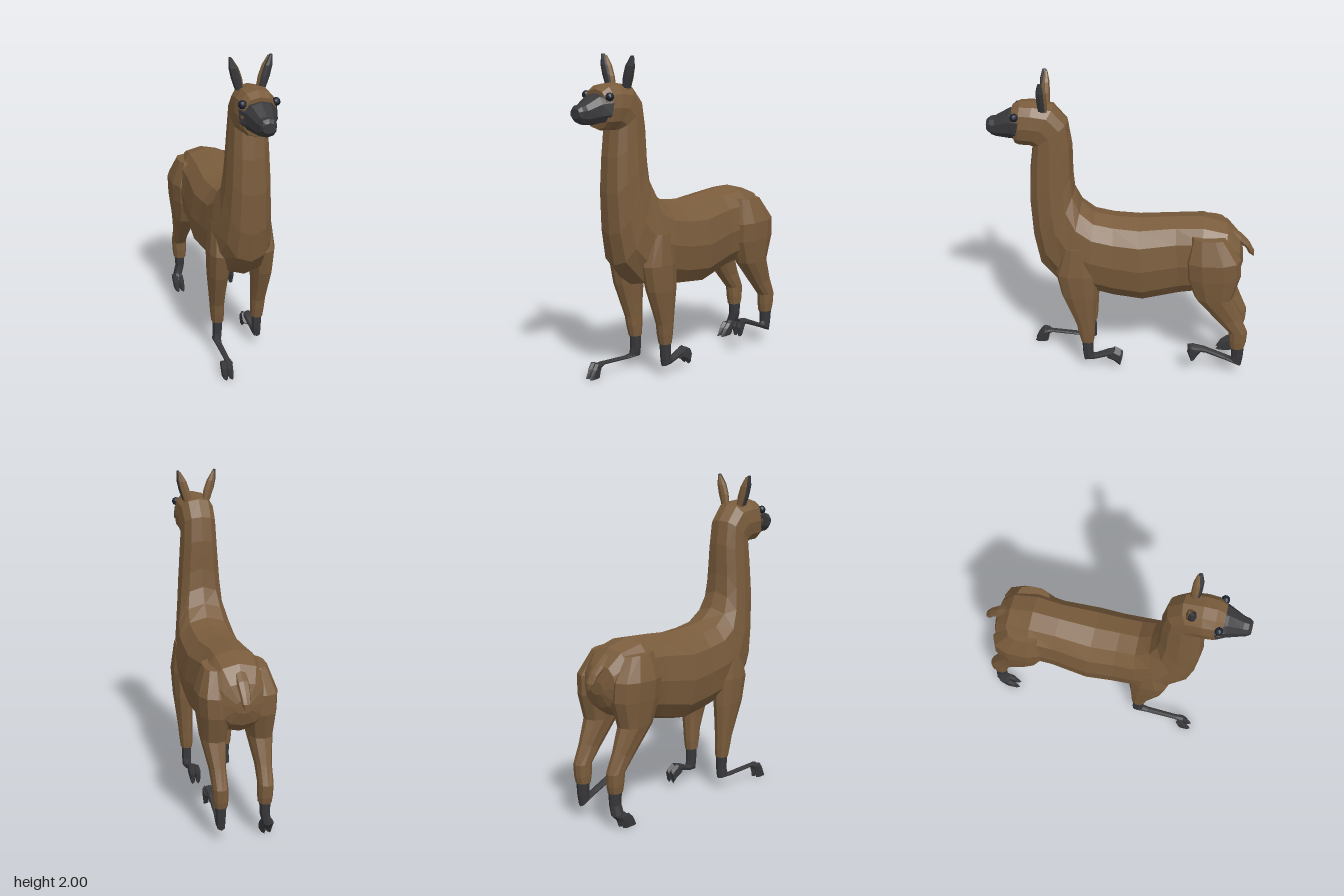
import * as THREE from 'three';

const material = (color) =>
  new THREE.MeshStandardMaterial({ color, flatShading: true, side: THREE.DoubleSide });
const wool = material(0x7a5c3c);
const dark = material(0x38383b);
const eyeColor = material(0x1b2230);

// Skin a row of cross-sections. Each section is [z1, y1, z2, y2, halfWidth, x]:
// two opposite points in the side plane, and the half width across them.
function loft(sections, sides, power = 0.82) {
  const soft = (v) => Math.sign(v) * Math.abs(v) ** power;
  const rings = sections.map(([z1, y1, z2, y2, hw, x]) => {
    const ring = [];
    for (let j = 0; j <= sides; j++) {
      const t = (j / sides) * Math.PI * 2;
      const c = soft(Math.cos(t)) / 2;
      ring.push([
        x + hw * soft(Math.sin(t)),
        (y1 + y2) / 2 + c * (y1 - y2),
        (z1 + z2) / 2 + c * (z1 - z2),
      ]);
    }
    ring.center = [x, (y1 + y2) / 2, (z1 + z2) / 2];
    return ring;
  });
  const pos = [];
  const first = rings[0];
  const last = rings[rings.length - 1];
  for (let j = 0; j < sides; j++) {
    pos.push(...first.center, ...first[j], ...first[j + 1]);
    pos.push(...last.center, ...last[j + 1], ...last[j]);
    for (let i = 0; i < rings.length - 1; i++) {
      const a = rings[i];
      const b = rings[i + 1];
      pos.push(...a[j], ...b[j], ...a[j + 1]);
      pos.push(...a[j + 1], ...b[j], ...b[j + 1]);
    }
  }
  const geometry = new THREE.BufferGeometry();
  geometry.setAttribute('position', new THREE.Float32BufferAttribute(pos, 3));
  geometry.computeVertexNormals();
  return geometry;
}

export function createModel() {
  const model = new THREE.Group();
  const headX = -0.02;

  function add(name, geometry, mat, parent = model) {
    const mesh = new THREE.Mesh(geometry, mat);
    mesh.name = name;
    parent.add(mesh);
    return mesh;
  }
  // Put sections at a side of the body: x = center + side * offset
  const place = (sections, side, center = 0) =>
    sections.map(([a, b, c, d, hw, x]) => [a, b, c, d, hw, center + side * x]);

  // Torso, neck and head in one skin, from rump to face
  add('body', loft([
    [-0.755, 0.87, -0.755, 0.79, 0.05, 0],
    [-0.73, 0.97, -0.73, 0.71, 0.13, 0],
    [-0.65, 1.06, -0.66, 0.65, 0.18, 0],
    [-0.5, 1.1, -0.5, 0.6, 0.2, -0.005],
    [-0.33, 1.09, -0.36, 0.57, 0.19, -0.01],
    [-0.1, 1.07, -0.13, 0.515, 0.21, -0.01],
    [0.06, 1.08, 0.05, 0.535, 0.2, -0.01],
    [0.18, 1.1, 0.22, 0.575, 0.2, -0.015],
    [0.26, 1.17, 0.39, 0.595, 0.185, -0.02],
    [0.3, 1.27, 0.53, 0.74, 0.155, -0.02],
    [0.31, 1.39, 0.57, 0.93, 0.14, -0.02],
    [0.31, 1.48, 0.585, 1.18, 0.13, -0.02],
    [0.312, 1.57, 0.575, 1.4, 0.12, headX],
    [0.335, 1.72, 0.555, 1.56, 0.112, headX],
    [0.42, 1.82, 0.58, 1.565, 0.115, headX],
    [0.54, 1.84, 0.6, 1.565, 0.12, headX],
    [0.62, 1.838, 0.63, 1.565, 0.115, headX],
    [0.67, 1.81, 0.655, 1.575, 0.1, headX],
  ], 12), wool);

  // Dark face and muzzle
  add('muzzle', loft([
    [0.61, 1.79, 0.655, 1.61, 0.118, headX],
    [0.69, 1.785, 0.69, 1.605, 0.09, headX],
    [0.78, 1.735, 0.77, 1.61, 0.058, headX],
    [0.81, 1.73, 0.8, 1.62, 0.052, headX],
    [0.83, 1.71, 0.83, 1.65, 0.038, headX],
  ], 10), dark);

  // Tail
  add('tail', loft([
    [-0.66, 1.04, -0.68, 0.96, 0.04, 0],
    [-0.74, 0.985, -0.735, 0.92, 0.038, 0],
    [-0.795, 0.925, -0.765, 0.9, 0.032, 0],
    [-0.825, 0.87, -0.785, 0.86, 0.026, 0],
    [-0.825, 0.835, -0.81, 0.84, 0.012, 0],
  ], 8), wool);

  // Ears (woolly inside half, dark outer half) and eyes
  const earBack = [
    [0.45, 1.8, 0.495, 1.8, 0.025, 0.06],
    [0.45, 1.87, 0.5, 1.87, 0.032, 0.078],
    [0.452, 1.93, 0.5, 1.93, 0.028, 0.095],
    [0.465, 1.99, 0.485, 1.99, 0.008, 0.113],
  ];
  const earFront = earBack.map(([a, b, c, d, hw, x]) =>
    [a + 0.008, b + 0.008, c + 0.012, d + 0.008, hw * 0.95, x + 0.008]);
  for (const side of [-1, 1]) {
    const label = side > 0 ? 'left' : 'right';
    add(label + 'Ear', loft(place(earBack, side, headX), 8), wool);
    add(label + 'EarFront', loft(place(earFront, side, headX), 8), dark);
    const eye = add(label + 'Eye', new THREE.IcosahedronGeometry(0.026, 1), eyeColor);
    eye.position.set(headX + side * 0.098, 1.77, 0.648);
  }

  // Upper legs
  const frontUpper = [
    [0.36, 0.92, 0.2, 0.92, 0.06, 0.13],
    [0.42, 0.73, 0.16, 0.73, 0.075, 0.135],
    [0.385, 0.57, 0.16, 0.56, 0.062, 0.14],
    [0.33, 0.43, 0.17, 0.43, 0.05, 0.138],
    [0.295, 0.34, 0.175, 0.34, 0.044, 0.135],
    [0.285, 0.28, 0.178, 0.27, 0.042, 0.132],
    [0.268, 0.21, 0.185, 0.21, 0.037, 0.13],
  ];
  const hindUpper = [
    [-0.43, 1.03, -0.64, 1.02, 0.06, 0.13],
    [-0.39, 0.87, -0.74, 0.88, 0.1, 0.142],
    [-0.4, 0.75, -0.745, 0.76, 0.098, 0.138],
    [-0.46, 0.6, -0.7, 0.6, 0.075, 0.142],
    [-0.61, 0.42, -0.755, 0.46, 0.048, 0.14],
    [-0.685, 0.34, -0.805, 0.34, 0.046, 0.138],
    [-0.69, 0.28, -0.8, 0.26, 0.045, 0.136],
    [-0.7, 0.22, -0.79, 0.22, 0.04, 0.135],
  ];

  // Dark shanks and feet, each in its own stride
  const frontShank = [[0.262, 0.23, 0.19, 0.23, 0.032, 0.13], [0.258, 0.13, 0.19, 0.13, 0.03, 0.13]];
  const hindShank = [[-0.705, 0.24, -0.79, 0.24, 0.036, 0.135], [-0.71, 0.15, -0.785, 0.14, 0.03, 0.135]];
  const legs = [
    {
      name: 'rightFront', side: -1, x: 0.165, center: -0.015, upper: frontUpper,
      shank: [...frontShank,
        [0.265, 0.09, 0.19, 0.07, 0.028, 0.135],
        [0.3, 0.086, 0.29, 0.066, 0.02, 0.14],
        [0.5, 0.096, 0.49, 0.074, 0.018, 0.15],
        [0.55, 0.095, 0.54, 0.055, 0.026, 0.15]],
      hoof: [[0.56, 0.095, 0.505, 0.08], [0.585, 0.06, 0.515, 0.05], [0.612, 0, 0.525, 0]],
    },
    {
      name: 'leftFront', side: 1, x: 0.12, center: -0.015, upper: frontUpper,
      shank: [...frontShank,
        [0.25, 0.065, 0.185, 0.105, 0.028, 0.13],
        [0.19, 0.065, 0.17, 0.108, 0.022, 0.128],
        [0.1, 0.09, 0.09, 0.14, 0.026, 0.125],
        [0.05, 0.09, 0.05, 0.15, 0.03, 0.125]],
      hoof: [[0.1, 0.08, 0.045, 0.148], [0.055, 0.06, 0.005, 0.125], [0.015, 0.025, -0.005, 0.11]],
    },
    {
      name: 'rightHind', side: -1, x: 0.16, center: 0, upper: hindUpper,
      shank: [...hindShank,
        [-0.705, 0.1, -0.785, 0.08, 0.03, 0.15],
        [-0.68, 0.06, -0.74, 0.04, 0.03, 0.155]],
      hoof: [[-0.68, 0.085, -0.765, 0.075], [-0.645, 0.055, -0.745, 0.045], [-0.615, 0, -0.725, 0]],
    },
    {
      name: 'leftHind', side: 1, x: 0.135, center: 0, upper: hindUpper,
      shank: [...hindShank,
        [-0.7, 0.135, -0.775, 0.075, 0.028, 0.135],
        [-0.66, 0.155, -0.68, 0.115, 0.022, 0.135],
        [-0.53, 0.21, -0.54, 0.17, 0.022, 0.135],
        [-0.45, 0.225, -0.46, 0.175, 0.03, 0.135]],
      hoof: [[-0.425, 0.215, -0.515, 0.18], [-0.425, 0.175, -0.495, 0.155], [-0.45, 0.105, -0.475, 0.125]],
    },
  ];
  for (const leg of legs) {
    const group = new THREE.Group();
    group.name = leg.name + 'Leg';
    model.add(group);
    add('upperLeg', loft(place(leg.upper, leg.side, leg.center), 10), wool, group);
    add('shank', loft(place(leg.shank, leg.side, leg.center), 8), dark, group);
    // Two toes per foot
    for (const toe of [-0.018, 0.018]) {
      const sections = leg.hoof.map((s, i) => [...s, [0.018, 0.019, 0.014][i], leg.x + toe]);
      add('toe', loft(place(sections, leg.side, leg.center), 6), dark, group);
    }
  }
  return model;
}
